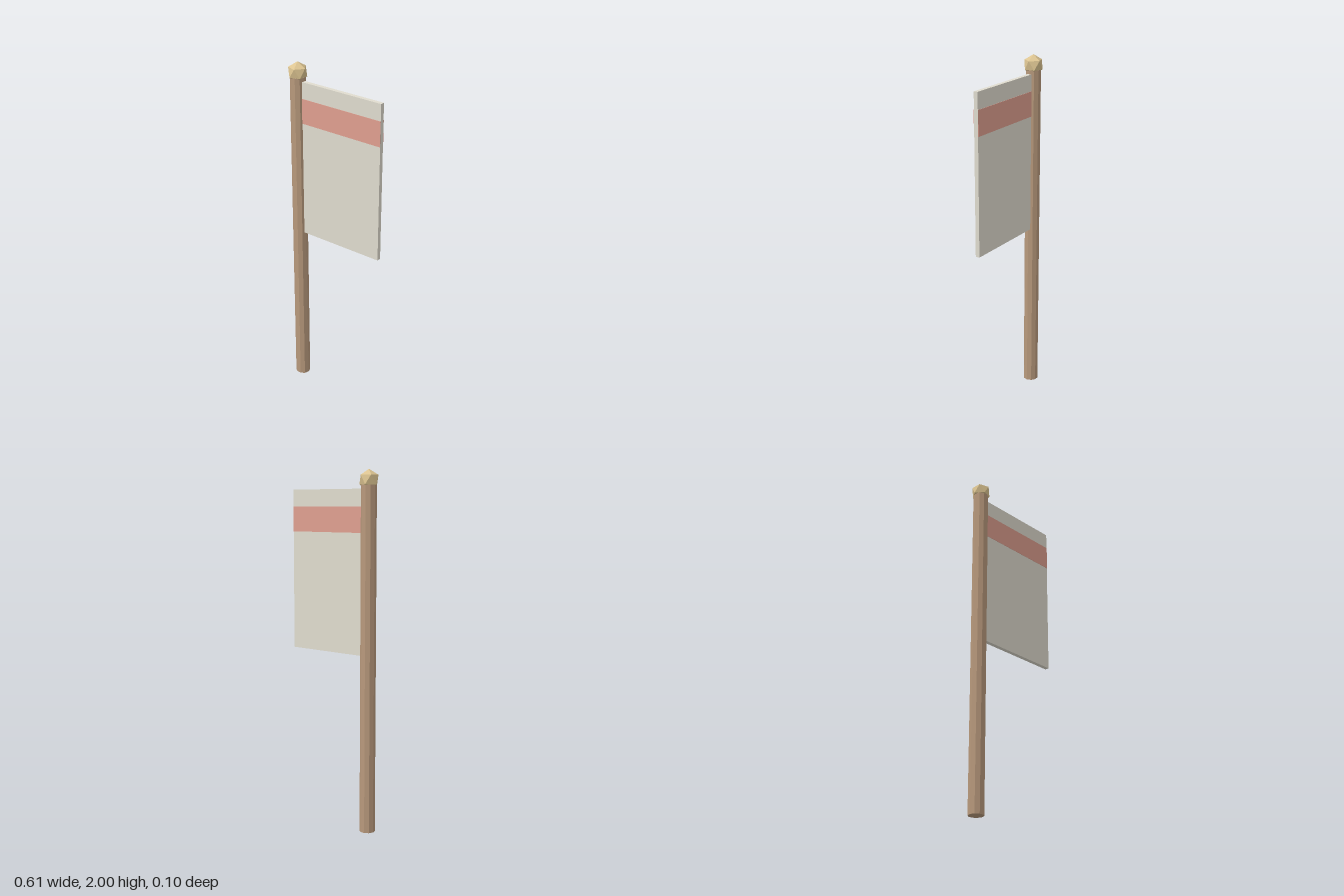
import * as THREE from 'three';

const material = (name, color) => {
  const m = new THREE.MeshStandardMaterial({ color, flatShading: true });
  m.name = name;
  return m;
};

export function createModel() {
  const wood = material('brown wood', 0xb8997c);
  const gold = material('pale gold', 0xdcc491);
  const cloth = material('off-white cloth', 0xe0dccf);
  const red = material('faded red', 0xdf9f90);

  const group = new THREE.Group();
  group.name = 'bannerPole';
  const add = (name, geometry, mat, x, y, z) => {
    const mesh = new THREE.Mesh(geometry, mat);
    mesh.name = name;
    mesh.position.set(x, y, z);
    group.add(mesh);
    return mesh;
  };

  const poleX = -0.256;

  // Ten-sided pole with corners on the x axis
  const poleTop = 1.917;
  const poleGeometry = new THREE.CylinderGeometry(0.043, 0.043, poleTop, 10).rotateY(Math.PI / 2);
  add('pole', poleGeometry, wood, poleX, poleTop / 2, 0);

  // Icosahedral finial, tipped so one corner points up and an upper corner points to +x
  const R = 0.057;
  const finialGeometry = new THREE.IcosahedronGeometry(R, 0);
  const phi = (1 + Math.sqrt(5)) / 2;
  const up = new THREE.Vector3(0, 1, phi).normalize();
  const side = new THREE.Vector3(0, -1, phi).normalize();
  side.addScaledVector(up, -side.dot(up)).normalize();
  const basis = new THREE.Matrix4().makeBasis(side, up, new THREE.Vector3().crossVectors(side, up));
  finialGeometry.applyMatrix4(basis.transpose());
  add('finial', finialGeometry, gold, poleX, 2 - R, 0);

  // Flag panel, its inner edge set into the pole
  const left = -0.225, right = 0.305, bottom = 0.99, top = 1.896, thickness = 0.024;
  const width = right - left, midX = (left + right) / 2;
  add('flag', new THREE.BoxGeometry(width, top - bottom, thickness), cloth, midX, (top + bottom) / 2, 0);

  // Thin stripe on each face of the flag
  for (const s of [1, -1]) {
    add(s > 0 ? 'frontStripe' : 'backStripe', new THREE.BoxGeometry(width, 0.142, 0.002), red,
      midX, 1.731, s * (thickness / 2 + 0.001));
  }
  return group;
}
